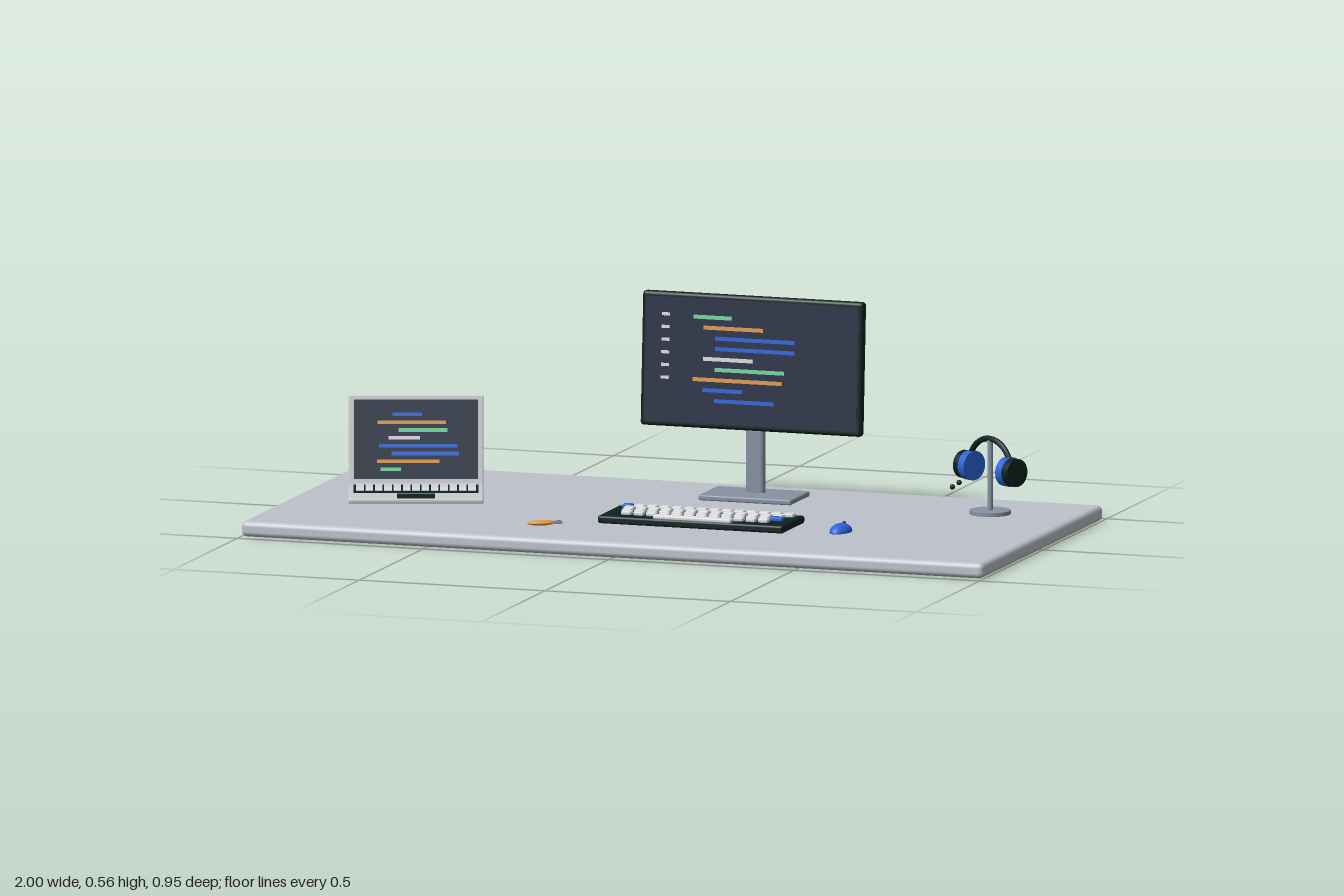
import * as THREE from 'three';
import { RoundedBoxGeometry } from 'three/addons/geometries/RoundedBoxGeometry.js';

const material = (name, color) => {
  const m = new THREE.MeshStandardMaterial({ color });
  m.name = name;
  return m;
};
const M = {
  desk: material('deskGrey', 0xbdc2cb),
  silver: material('silver', 0xc9cbce),
  stand: material('standGrey', 0x8792a2),
  dark: material('darkShell', 0x0c211f),
  navy: material('screenNavy', 0x222c42),
  blue: material('blue', 0x2b64d8),
  orange: material('orange', 0xdd9a4c),
  green: material('green', 0x6fd6a0),
  white: material('keyWhite', 0xdadcdf),
};

function add(parent, name, geometry, mat, x = 0, y = 0, z = 0) {
  const mesh = new THREE.Mesh(geometry, mat);
  mesh.name = name;
  mesh.position.set(x, y, z);
  parent.add(mesh);
  return mesh;
}
function group(parent, name, x = 0, y = 0, z = 0, turn = 0) {
  const g = new THREE.Group();
  g.name = name;
  g.position.set(x, y, z);
  g.rotation.y = turn;
  parent.add(g);
  return g;
}
const box = (w, h, d) => new THREE.BoxGeometry(w, h, d);
const rounded = (w, h, d, r, s = 2) => new RoundedBoxGeometry(w, h, d, s, r);
const disc = (r, h) => new THREE.CylinderGeometry(r, r, h, 32);

// Rows of coloured bars on a screen: [left, width, material]
function codeLines(parent, rows, top, step, height, z) {
  rows.forEach(([left, width, mat], i) =>
    add(parent, 'codeLine', box(width, height, 0.003), mat, left + width / 2, top - i * step, z));
}

function buildMonitor(root) {
  const stand = group(root, 'monitorStand', 0.125, 0.04, -0.28);
  add(stand, 'standFoot', rounded(0.25, 0.014, 0.15, 0.004), M.stand, 0, 0.007, 0);
  add(stand, 'standNeck', rounded(0.05, 0.18, 0.024, 0.01), M.stand, 0, 0.092, -0.013);

  const monitor = group(root, 'monitor', 0.125, 0.39, -0.275);
  monitor.rotation.x = -0.06;
  add(monitor, 'monitorShell', rounded(0.596, 0.345, 0.028, 0.009), M.dark);
  add(monitor, 'monitorScreen', box(0.572, 0.32, 0.003), M.navy, 0, 0, 0.0145);
  codeLines(monitor, [
    [-0.157, 0.102, M.green], [-0.13, 0.16, M.orange], [-0.098, 0.214, M.blue],
    [-0.098, 0.214, M.blue], [-0.13, 0.134, M.white], [-0.098, 0.187, M.green],
    [-0.157, 0.24, M.orange], [-0.13, 0.107, M.blue], [-0.098, 0.16, M.blue],
  ], 0.113, 0.0267, 0.01, 0.0165);
  codeLines(monitor, Array(6).fill([-0.243, 0.022, M.white]), 0.116, 0.0325, 0.008, 0.0165);
}

function buildLaptop(root) {
  const laptop = group(root, 'laptop', -0.7, 0.04, -0.03, 0.33);
  add(laptop, 'laptopBase', rounded(0.345, 0.014, 0.234, 0.005), M.silver, 0, 0.007, 0);
  add(laptop, 'keyboardWell', box(0.318, 0.002, 0.122), M.dark, 0, 0.0145, -0.028);
  add(laptop, 'trackpad', box(0.096, 0.002, 0.062), M.dark, 0, 0.0145, 0.083);
  for (let row = 0; row < 5; row++)
    for (let col = 0; col < 13; col++)
      add(laptop, 'laptopKey', box(0.0195, 0.003, 0.0165), M.white,
        (col - 6) * 0.0238, 0.0165, -0.078 + row * 0.0205);

  // Lid hinged on the back edge
  const lid = group(laptop, 'laptopLid', 0, 0.012, -0.113);
  lid.rotation.x = -0.215;
  add(lid, 'lidShell', rounded(0.345, 0.23, 0.01, 0.004), M.silver, 0, 0.113, 0);
  add(lid, 'laptopScreen', box(0.317, 0.203, 0.002), M.navy, 0, 0.114, 0.0055);
  codeLines(lid, [
    [-0.06, 0.075, M.blue], [-0.098, 0.175, M.orange], [-0.045, 0.125, M.green],
    [-0.07, 0.08, M.white], [-0.094, 0.2, M.blue], [-0.062, 0.172, M.blue],
    [-0.1, 0.16, M.orange], [-0.09, 0.052, M.green],
  ], 0.178, 0.02, 0.0095, 0.007);
}

function buildKeyboard(root) {
  const keyboard = group(root, 'keyboard', 0.12, 0.04, 0.122);
  add(keyboard, 'keyboardBody', rounded(0.5, 0.02, 0.175, 0.006), M.dark, 0, 0.01, 0);
  // Each row starts a little further in
  [[-0.216, 14], [-0.2, 13], [-0.194, 13], [-0.184, 12]].forEach(([start, count], row) => {
    for (let col = 0; col < count; col++) {
      const accent = (row === 0 && col === 0) || (row === 2 && col === count - 1);
      add(keyboard, 'key', rounded(accent && row ? 0.036 : 0.027, 0.011, 0.026, 0.004, 1),
        accent ? M.blue : M.white, start + col * 0.0335, 0.0245, -0.055 + row * 0.033);
    }
  });
  add(keyboard, 'spaceBar', rounded(0.21, 0.011, 0.026, 0.004), M.white, 0.005, 0.0245, 0.077);
}

function buildMouse(root) {
  const mouse = group(root, 'mouse', 0.5, 0.04, 0.132, -0.15);
  const dome = new THREE.SphereGeometry(1, 32, 12, 0, Math.PI * 2, 0, Math.PI / 2);
  add(mouse, 'mouseBody', dome, M.blue).scale.set(0.025, 0.023, 0.042);
  const base = add(mouse, 'mouseBase', disc(1, 0.002), M.blue, 0, 0.001, 0);
  base.scale.set(0.025, 1, 0.042);
  const wheel = add(mouse, 'scrollWheel', disc(0.005, 0.005), M.dark, 0, 0.02, -0.018);
  wheel.rotation.z = Math.PI / 2;
}

function buildFlashDrive(root) {
  const drive = group(root, 'flashDrive', -0.245, 0.047, 0.28, 0.5);
  const body = add(drive, 'driveBody', new THREE.SphereGeometry(1, 24, 12), M.orange, -0.013, 0, 0);
  body.scale.set(0.034, 0.007, 0.016);
  add(drive, 'driveCollar', box(0.012, 0.009, 0.018), M.orange, 0.012, 0, 0);
  add(drive, 'drivePlug', box(0.026, 0.007, 0.014), M.stand, 0.03, 0, 0);
  add(drive, 'plugSlot', box(0.008, 0.002, 0.004), M.dark, 0.034, 0.0035, 0);
}

function buildHeadphones(root) {
  const stand = group(root, 'headphoneStand', 0.77, 0.04, -0.254);
  add(stand, 'standDisc', disc(0.053, 0.01), M.stand, 0, 0.005, 0);
  add(stand, 'standPole', disc(0.007, 0.19), M.stand, 0, 0.1, 0);

  const phones = group(root, 'headphones', 0.77, 0.157, -0.254, -0.478);
  add(phones, 'headband', new THREE.TorusGeometry(0.077, 0.0075, 10, 40, Math.PI), M.dark);
  for (const side of [-1, 1]) {
    add(phones, 'earCushion', disc(0.038, 0.022), M.blue, side * 0.069, 0, 0).rotation.z = Math.PI / 2;
    add(phones, 'earCup', disc(0.036, 0.02), M.dark, side * 0.09, 0, 0).rotation.z = Math.PI / 2;
  }
  // Small microphone below one cup
  const bead = new THREE.SphereGeometry(0.007, 12, 8);
  add(root, 'microphone', bead, M.dark, 0.665, 0.102, -0.264);
  add(root, 'microphoneJoint', bead, M.dark, 0.675, 0.11, -0.288);
}

export function createModel() {
  const root = new THREE.Group();
  root.name = 'deskSetup';
  add(root, 'deskTop', rounded(2, 0.04, 0.95, 0.014, 4), M.desk, 0, 0.02, 0);
  buildMonitor(root);
  buildLaptop(root);
  buildKeyboard(root);
  buildMouse(root);
  buildFlashDrive(root);
  buildHeadphones(root);
  return root;
}
